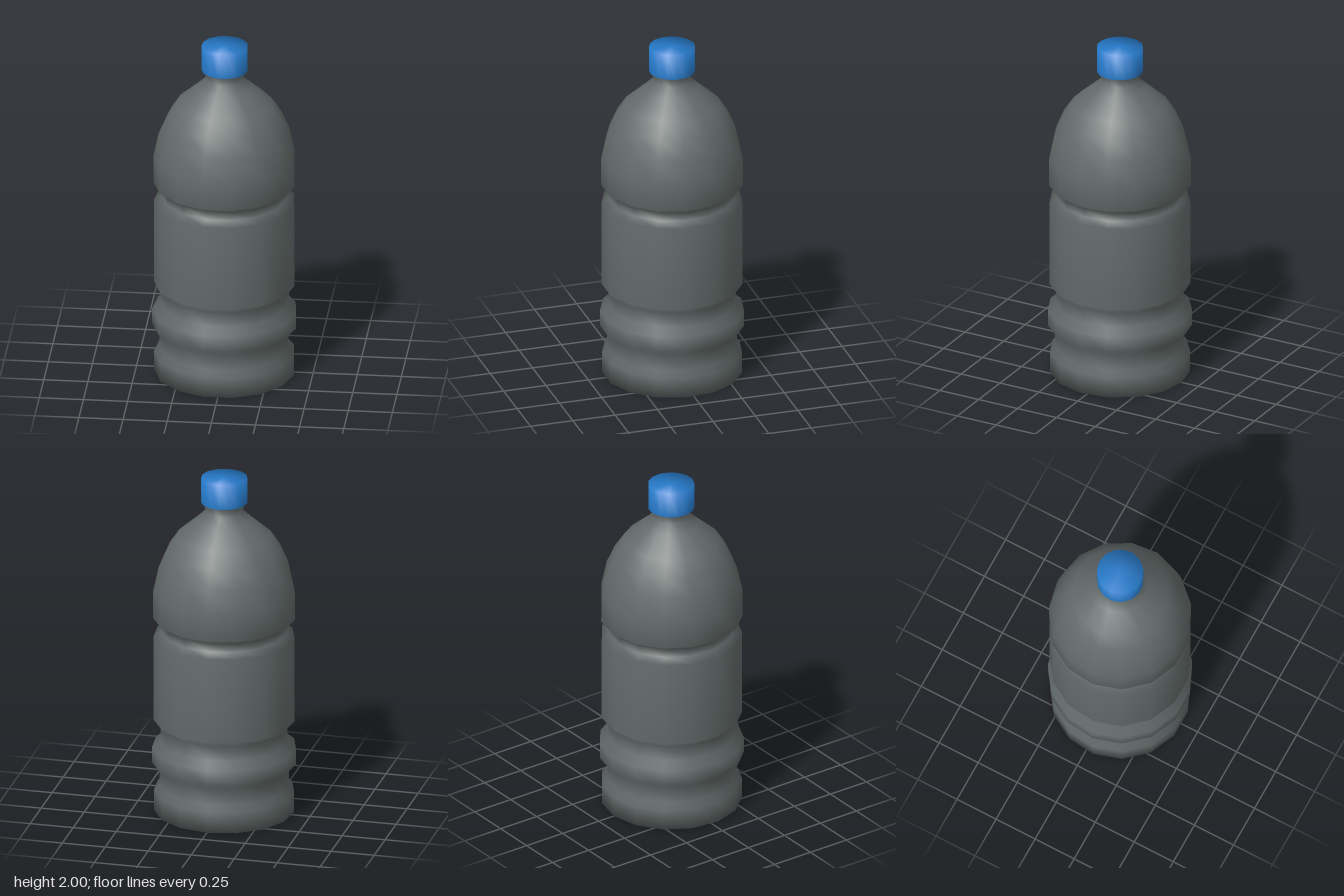
import * as THREE from 'three';

const SIDES = 15;

// Revolves [radius, height] points, bottom to top, with a corner facing the back
function turned(name, profile, material) {
  const points = profile.map(([r, y]) => new THREE.Vector2(r, y));
  const mesh = new THREE.Mesh(new THREE.LatheGeometry(points, SIDES, Math.PI), material);
  mesh.name = name;
  return mesh;
}

export function createModel() {
  const plastic = new THREE.MeshStandardMaterial({ color: 0x636b6a });
  plastic.name = 'grey plastic';
  const blue = new THREE.MeshStandardMaterial({ color: 0x2679c8 });
  blue.name = 'blue cap';

  const bottle = new THREE.Group();
  bottle.name = 'bottle';

  // Body: ribbed base, label band, grip groove, domed shoulder, neck and cap underside
  bottle.add(turned('body', [
    [0, 0], [0.398, 0], [0.398, 0.12], [0.367, 0.155],
    [0.367, 0.25], [0.409, 0.288], [0.409, 0.38], [0.36, 0.42],
    [0.36, 0.51], [0.4, 0.547], [0.4, 1.048], [0.353, 1.075],
    [0.353, 1.127], [0.403, 1.16], [0.402, 1.32], [0.372, 1.46],
    [0.326, 1.566], [0.27, 1.65], [0.155, 1.75], [0.108, 1.795],
    [0.108, 1.85], [0.131, 1.85],
  ], plastic));

  // Screw cap
  bottle.add(turned('cap', [[0.131, 1.85], [0.131, 2], [0, 2]], blue));

  // Centre the odd-sided outline front to back
  bottle.children.forEach((part) => { part.position.z = 0.0045; });
  return bottle;
}
